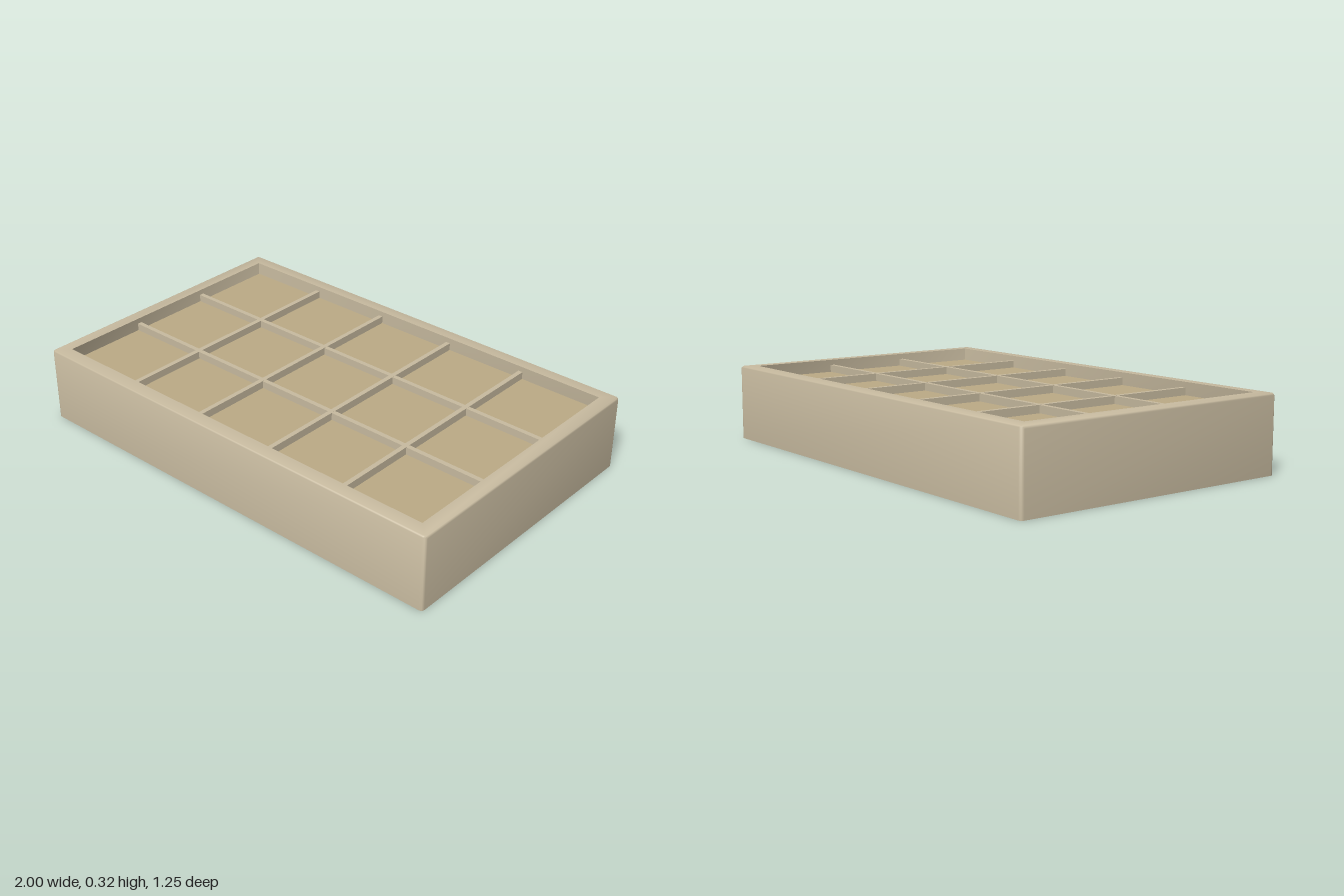
import * as THREE from 'three';
import { toCreasedNormals } from 'three/addons/utils/BufferGeometryUtils.js';

const W = 1, D = 0.627, H = 0.325;        // half width, half depth, height
const WALL = 0.06, FLOOR = 0.262, PAD = 0.27, RIB_TOP = 0.302, RIB = 0.02;
const COLS = 5, ROWS = 3, ROUND = 0.015, STEPS = 4;

// One rounded-rectangle loop, inset from the outer walls
function loop(inset, y) {
  const r = Math.max(ROUND - inset, 0.0005), pts = [];
  [[1, 1], [-1, 1], [-1, -1], [1, -1]].forEach(([sx, sz], q) => {
    for (let i = 0; i <= STEPS; i++) {
      const a = (q + i / STEPS) * Math.PI / 2;
      pts.push([sx * (W - inset - r) + r * Math.cos(a), y, sz * (D - inset - r) + r * Math.sin(a)]);
    }
  });
  return pts;
}

// Closed skin: underside, walls, rounded rim, inner walls, tray floor
function trayGeometry() {
  const n = 4 * (STEPS + 1);
  const centre = y => Array.from({ length: n }, () => [0, y, 0]);
  const b = 0.013, rings = [centre(0), loop(0, 0)];
  for (let i = 0; i <= STEPS; i++) {
    const a = i / STEPS * Math.PI / 2;
    rings.push(loop(b * (1 - Math.cos(a)), H - b + b * Math.sin(a)));
  }
  rings.push(loop(WALL, H), loop(WALL, FLOOR), centre(FLOOR));
  const index = [];
  for (let k = 0; k < rings.length - 1; k++) {
    for (let i = 0; i < n; i++) {
      const j = (i + 1) % n, a = k * n + i, c = k * n + j;
      if (k > 0) index.push(a, a + n, c);
      if (k < rings.length - 2) index.push(c, a + n, c + n);
      else index.push(a, a + n, c);
    }
  }
  const g = new THREE.BufferGeometry();
  g.setAttribute('position', new THREE.Float32BufferAttribute(rings.flat(2), 3));
  g.setIndex(index);
  return toCreasedNormals(g, 0.7);
}

export function createModel() {
  const model = new THREE.Group();
  model.name = 'compartmentTray';
  const frameMat = new THREE.MeshStandardMaterial({ color: 0xc8bba0 });
  const padMat = new THREE.MeshStandardMaterial({ color: 0xbcab86 });

  const tray = new THREE.Mesh(trayGeometry(), frameMat);
  tray.name = 'trayBody';
  model.add(tray);

  const box = (name, mat, w, d, y0, y1, x, z) => {
    const m = new THREE.Mesh(new THREE.BoxGeometry(w, y1 - y0, d), mat);
    m.name = name;
    m.position.set(x, (y0 + y1) / 2, z);
    model.add(m);
  };
  const innerW = 2 * (W - WALL), innerD = 2 * (D - WALL);
  const pitchX = innerW / COLS, pitchZ = innerD / ROWS;

  // Dividers
  for (let i = 1; i < COLS; i++)
    box('crossDivider', frameMat, RIB, innerD, FLOOR, RIB_TOP, -innerW / 2 + i * pitchX, 0);
  for (let j = 1; j < ROWS; j++)
    box('longDivider', frameMat, innerW, RIB, FLOOR, RIB_TOP - 0.0005, 0, -innerD / 2 + j * pitchZ);

  // Compartment floors
  for (let i = 0; i < COLS; i++)
    for (let j = 0; j < ROWS; j++)
      box('compartmentFloor', padMat, pitchX, pitchZ, FLOOR - 0.004, PAD,
        -innerW / 2 + (i + 0.5) * pitchX, -innerD / 2 + (j + 0.5) * pitchZ);
  return model;
}
